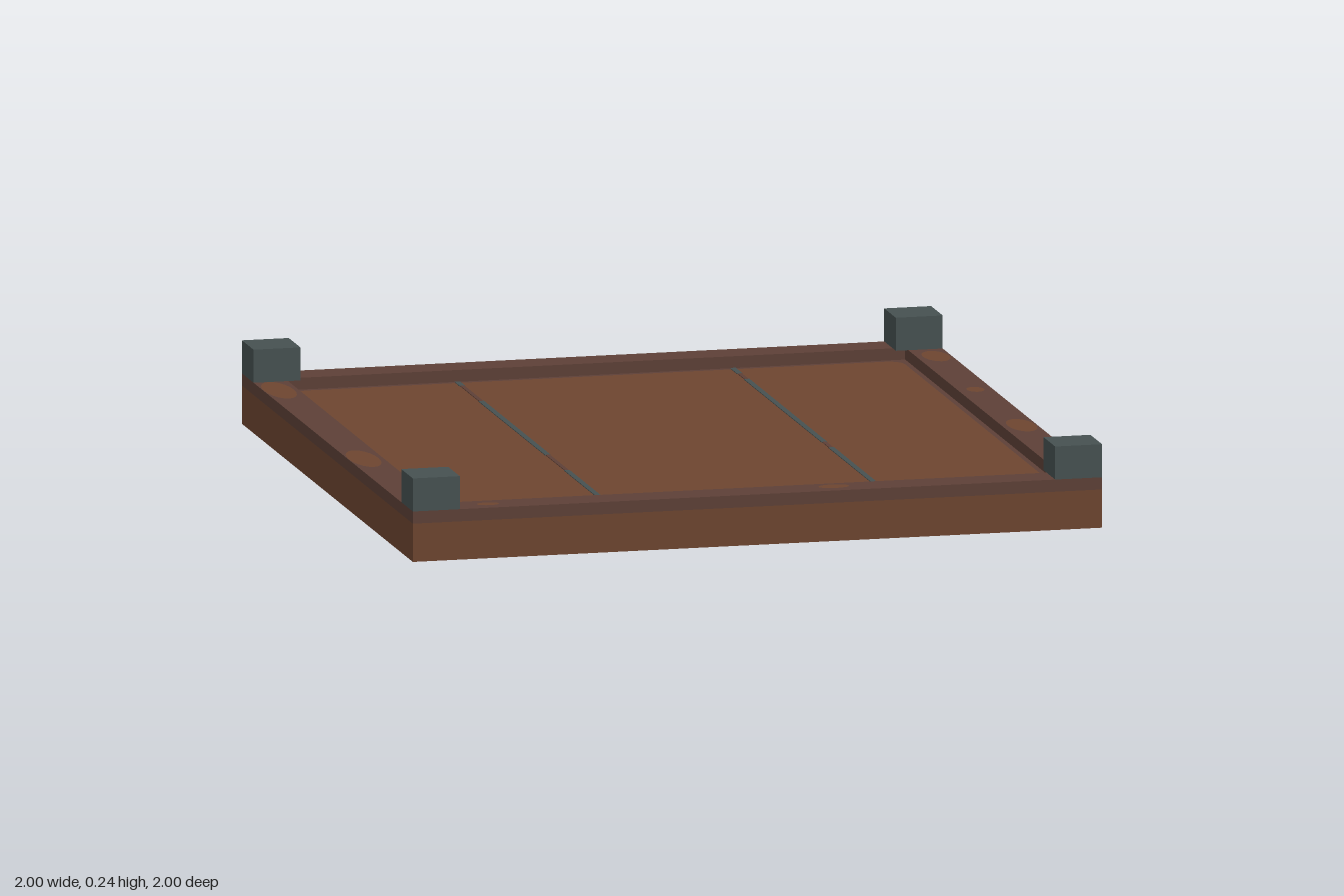
import * as THREE from 'three';

const material = (name, color) => {
  const m = new THREE.MeshStandardMaterial({ color });
  m.name = name;
  return m;
};

export function createModel() {
  const model = new THREE.Group();
  model.name = 'floorTile';
  const wood = material('warm brown wood', 0x6d4530);
  const darkWood = material('dark brown wood', 0x5d4037);
  const iron = material('grey iron', 0x465151);

  const add = (name, geometry, mat, x, y, z) => {
    const mesh = new THREE.Mesh(geometry, mat);
    mesh.name = name;
    mesh.position.set(x, y, z);
    model.add(mesh);
    return mesh;
  };
  // Box given by its bottom height and its top height
  const box = (name, mat, w, d, x, z, y0, y1) =>
    add(name, new THREE.BoxGeometry(w, y1 - y0, d), mat, x, (y0 + y1) / 2, z);

  // Floor slab
  const floorY = 0.11, rimY = 0.145;
  box('floorSlab', wood, 2, 2, 0, 0, 0, floorY);

  // Raised rim, with the side rails fitted between the end rails
  for (const s of [-1, 1]) {
    box('endRail', darkWood, 2, 0.1, 0, s * 0.95, floorY, rimY);
    box('sideRail', darkWood, 0.1, 1.8, s * 0.95, 0, floorY, rimY);
  }

  // Corner blocks
  for (const x of [-1, 1]) for (const z of [-1, 1]) {
    box('cornerBlock', iron, 0.136, 0.136, x * 0.932, z * 0.932, rimY, 0.24);
  }

  // Worn dark border around the floor, rounded on its inside
  const border = new THREE.Shape();
  border.moveTo(-0.9, -0.9).lineTo(0.9, -0.9).lineTo(0.9, 0.9).lineTo(-0.9, 0.9);
  const a = 0.884, c = 0.83;
  const hole = new THREE.Path();
  hole.moveTo(-c, -a).quadraticCurveTo(-a, -a, -a, -c).lineTo(-a, c)
    .quadraticCurveTo(-a, a, -c, a).lineTo(c, a).quadraticCurveTo(a, a, a, c)
    .lineTo(a, -c).quadraticCurveTo(a, -a, c, -a).lineTo(-c, -a);
  border.holes.push(hole);
  const borderGeometry = new THREE.ShapeGeometry(border).rotateX(-Math.PI / 2);
  add('floorBorder', borderGeometry, darkWood, 0, floorY + 0.001, 0);

  // Plank seams: iron-grey runs with worn brown gaps
  const seams = [
    [-0.4, [[-0.9, -0.84], [-0.62, 0.16], [0.38, 0.89]], [[-0.84, -0.62], [0.16, 0.38]]],
    [0.4, [[-0.9, -0.82], [-0.74, 0.17], [0.25, 0.89]], [[-0.82, -0.74], [0.17, 0.25]]],
  ];
  for (const [x, runs, gaps] of seams) {
    for (const [z0, z1] of runs) {
      box('plankSeam', iron, 0.016, z1 - z0, x, (z0 + z1) / 2, floorY, floorY + 0.002);
    }
    for (const [z0, z1] of gaps) {
      box('wornSeam', darkWood, 0.012, z1 - z0, x, (z0 + z1) / 2, floorY, floorY + 0.002);
    }
  }

  // Worn patches on the rim: x, z, half width, half depth
  const patches = [
    [-0.957, -0.74, 0.043, 0.12], [-0.957, 0.25, 0.043, 0.12],
    [0.955, -0.76, 0.038, 0.075], [0.955, 0.24, 0.04, 0.09],
    [0.95, -0.28, 0.025, 0.035], [0.95, 0.71, 0.03, 0.02],
    [-0.77, 0.95, 0.032, 0.02], [0.235, 0.945, 0.045, 0.025],
  ];
  for (const [x, z, w, d] of patches) {
    const patch = new THREE.CircleGeometry(1, 20).rotateX(-Math.PI / 2).scale(w, 1, d);
    add('wornPatch', patch, wood, x, rimY + 0.001, z);
  }
  return model;
}
